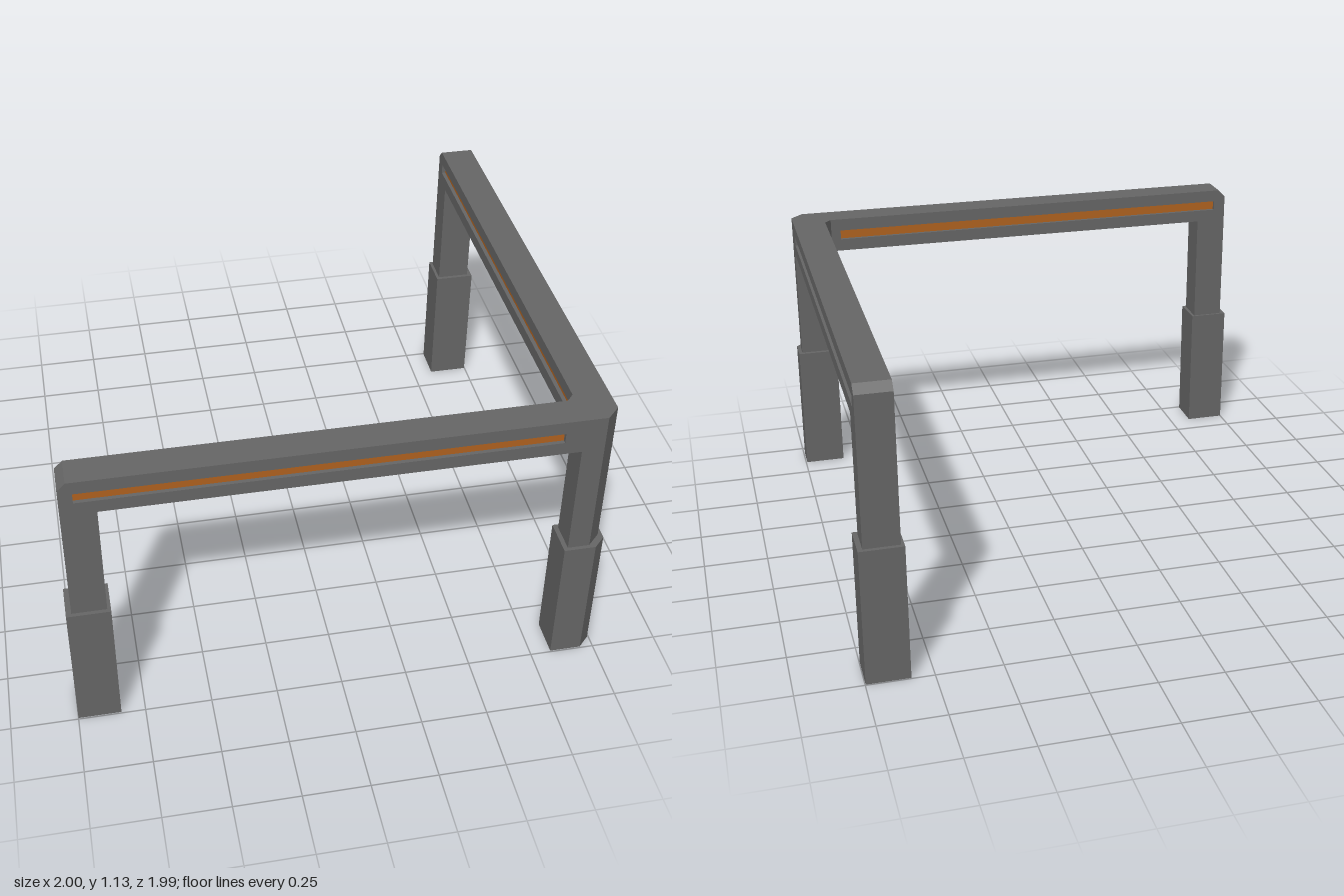
import * as THREE from 'three';

const grey = new THREE.MeshStandardMaterial({ color: 0x666666, flatShading: true });
const orange = new THREE.MeshStandardMaterial({ color: 0xb0621f, flatShading: true });

const shapeOf = (pts) => new THREE.Shape(pts.map(([x, y]) => new THREE.Vector2(x, y)));

// Upright prism from an [x, z] plan, between two heights
function prism(name, plan, y0, y1) {
  const geo = new THREE.ExtrudeGeometry(shapeOf(plan.map(([x, z]) => [x, -z])), { depth: y1 - y0, bevelEnabled: false });
  geo.rotateX(-Math.PI / 2).translate(0, y0, 0);
  const mesh = new THREE.Mesh(geo, grey);
  mesh.name = name;
  return mesh;
}

function box(name, x0, x1, y0, y1, z0, z1, material = grey) {
  const mesh = new THREE.Mesh(new THREE.BoxGeometry(x1 - x0, y1 - y0, z1 - z0), material);
  mesh.position.set((x0 + x1) / 2, (y0 + y1) / 2, (z0 + z1) / 2);
  mesh.name = name;
  return mesh;
}

// Beam with its outer leg, a slot through the beam and a recessed strip in the slot.
// Runs along local x, from local z = 0 to z = thick.
function arm(name, end, slotEnd, leg, thick) {
  const group = new THREE.Group();
  group.name = name;
  const profile = shapeOf([
    [-0.98, 0.53], [leg, 0.53], [leg, 0.99], [end, 0.99],
    [end, 1.13], [-0.95, 1.13], [-0.98, 1.1],
  ]);
  profile.holes.push(new THREE.Path([
    [-0.93, 1.04], [-0.93, 1.08], [slotEnd, 1.08], [slotEnd, 1.04],
  ].map(([x, y]) => new THREE.Vector2(x, y))));
  const beam = new THREE.Mesh(new THREE.ExtrudeGeometry(profile, { depth: thick, bevelEnabled: false }), grey);
  beam.name = 'beamAndLeg';
  const recess = 0.015;
  group.add(beam, box('inlayStrip', -0.93, slotEnd, 1.04, 1.08, recess, thick - recess, orange));
  return group;
}

export function createModel() {
  const model = new THREE.Group();
  model.name = 'cornerFrame';

  // Two arms meeting at the front left corner; the side arm's depth runs towards -x
  const front = arm('frontArm', 0.82, 0.78, -0.853, 0.12);
  front.position.z = 0.86;
  const side = arm('sideArm', 0.83, 0.825, -0.865, 0.133);
  side.rotation.y = -Math.PI / 2;
  side.position.x = 0.98;
  model.add(front, side);

  // Corner block and leg with a chamfered outer edge
  model.add(
    prism('cornerBlock', [[0.82, 0.98], [0.93, 0.98], [0.98, 0.93], [0.98, 0.83], [0.847, 0.83], [0.82, 0.86]], 0.99, 1.13),
    prism('cornerLeg', [[0.847, 0.98], [0.93, 0.98], [0.98, 0.93], [0.98, 0.867], [0.847, 0.867]], 0.53, 0.99),
  );

  // Wider feet around each leg
  model.add(
    prism('cornerFoot', [[0.83, 0.995], [0.95, 0.995], [0.995, 0.95], [0.995, 0.85], [0.83, 0.85]], 0, 0.53),
    box('frontFoot', -1, -0.84, 0, 0.53, 0.85, 0.995),
    box('backFoot', 0.835, 0.998, 0, 0.53, -0.996, -0.85),
  );
  return model;
}
